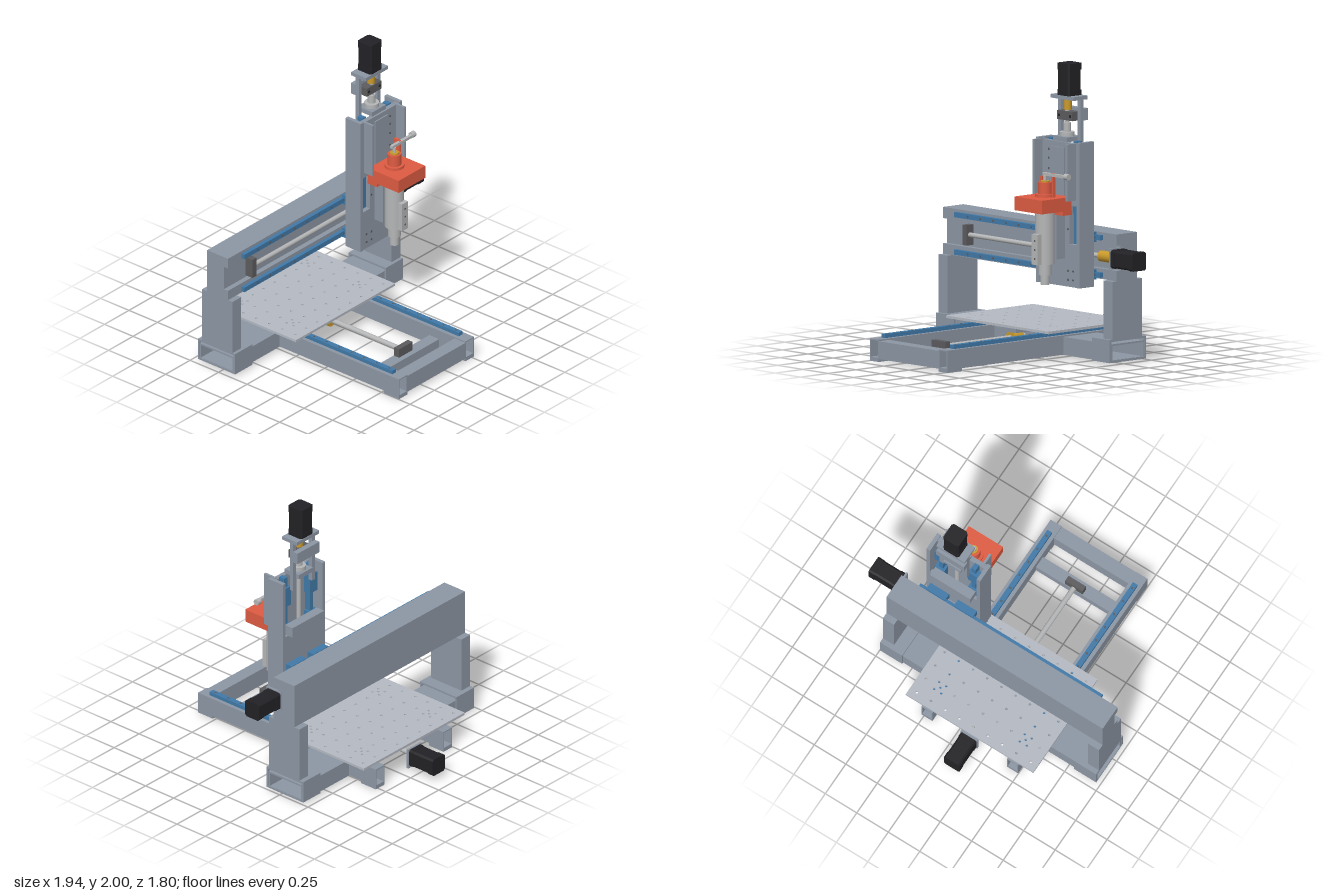
import * as THREE from 'three';

const mat = (color) => new THREE.MeshStandardMaterial({ color });
const GREY = mat(0x8c96a3), PLATE = mat(0xb4b9c2), BLUE = mat(0x4179a8), BLACK = mat(0x222226),
  GOLD = mat(0xc8992b), ORANGE = mat(0xde5b42), STEEL = mat(0xb4b5b6), DARK = mat(0x5c5c5e);

export function createModel() {
  const root = new THREE.Group();
  const add = (name, geo, m) => {
    const mesh = new THREE.Mesh(geo, m);
    mesh.name = name;
    root.add(mesh);
    return mesh;
  };
  // box given by its limits on each axis
  const box = (name, m, x0, x1, y0, y1, z0, z1) => add(name, new THREE.BoxGeometry(x1 - x0, y1 - y0, z1 - z0), m)
    .position.set((x0 + x1) / 2, (y0 + y1) / 2, (z0 + z1) / 2);
  // cylinder along an axis, centred at x, y, z
  const rod = (name, m, axis, r, len, x, y, z, sides = 28) => {
    const geo = new THREE.CylinderGeometry(r, r, len, sides);
    if (axis === 'x') geo.rotateZ(Math.PI / 2);
    if (axis === 'z') geo.rotateX(Math.PI / 2);
    add(name, geo, m).position.set(x, y, z);
  };
  const rectPath = (P, w, h) => {
    const p = new P();
    p.moveTo(-w / 2, -h / 2); p.lineTo(w / 2, -h / 2); p.lineTo(w / 2, h / 2); p.lineTo(-w / 2, h / 2); p.closePath();
    return p;
  };
  // hollow rectangular tube along z or x
  const tube = (name, axis, w, h, len, t, x, y, z) => {
    const s = rectPath(THREE.Shape, w, h);
    s.holes.push(rectPath(THREE.Path, w - 2 * t, h - 2 * t));
    const geo = new THREE.ExtrudeGeometry(s, { depth: len, bevelEnabled: false }).translate(0, 0, -len / 2);
    if (axis === 'x') geo.rotateY(Math.PI / 2);
    add(name, geo, GREY).position.set(x, y, z);
  };
  // stepper motor: chamfered square body with two end caps, along +z before turning
  const motor = (name, x, y, z, rx, ry) => {
    const g = new THREE.Group();
    g.name = name;
    [[0.124, 0, 0.035], [0.118, 0.035, 0.17], [0.124, 0.17, 0.215]].forEach(([w, a, b]) => {
      const h = w / 2, c = 0.012, s = new THREE.Shape();
      [[-h + c, -h], [h - c, -h], [h, -h + c], [h, h - c], [h - c, h], [-h + c, h], [-h, h - c], [-h, -h + c]]
        .forEach(([u, v], i) => (i ? s.lineTo(u, v) : s.moveTo(u, v)));
      s.closePath();
      const m = new THREE.Mesh(new THREE.ExtrudeGeometry(s, { depth: b - a, bevelEnabled: false }), BLACK);
      m.name = name + 'Body';
      m.position.z = a;
      g.add(m);
    });
    g.position.set(x, y, z);
    g.rotation.set(rx, ry, 0);
    root.add(g);
  };

  // base frame: hollow side rails, feet, linear guides with blocks
  const SX = [-0.453, 0.227];
  for (const x of SX) {
    tube('baseRail', 'z', 0.088, 0.13, 1.58, 0.008, x, 0.085, 0.11);
    box('foot', GREY, x - 0.044, x + 0.044, 0, 0.02, 0.77, 0.9);
    box('foot', GREY, x - 0.044, x + 0.044, 0, 0.02, -0.68, -0.55);
    box('tableGuide', BLUE, x - 0.018, x + 0.018, 0.15, 0.176, -0.6, 0.82);
    for (let i = 0; i < 13; i++) rod('guideBolt', DARK, 'y', 0.008, 0.004, x, 0.176, -0.54 + i * 0.11, 10);
    for (const z of [-0.52, -0.065]) box('tableBlock', BLUE, x - 0.036, x + 0.036, 0.162, 0.195, z - 0.075, z + 0.075);
  }
  box('frontCrossMember', GREY, -0.41, 0.183, 0.02, 0.14, 0.805, 0.9);
  box('innerCrossMember', GREY, -0.41, 0.183, 0.02, 0.085, 0.585, 0.67);
  box('middleCrossBeam', GREY, -0.41, 0.183, 0.02, 0.14, -0.445, -0.145);
  tube('crossBeamEnd', 'x', 0.3, 0.12, 0.47, 0.012, -0.733, 0.08, -0.295);
  tube('crossBeamEnd', 'x', 0.3, 0.12, 0.47, 0.012, 0.508, 0.08, -0.295);

  // gantry uprights with sleeves around the cross beam
  for (const s of [-1, 1]) {
    const cx = -0.113, e = 0.858;
    tube('uprightSleeve', 'x', 0.326, 0.155, 0.175, 0.014, cx + s * (e - 0.0875), 0.0925, -0.292);
    const a = cx + s * e, b = cx + s * (e - 0.088);
    box('upright', GREY, Math.min(a, b), Math.max(a, b), 0.165, 0.56, -0.42, -0.152);
  }

  // gantry beam: C-shaped section run along x
  const c = new THREE.Shape();
  [[0.375, 0.56], [0.375, 0.875], [0.192, 0.875], [0.192, 0.8], [0.228, 0.8], [0.228, 0.63], [0.192, 0.63], [0.192, 0.56]]
    .forEach(([u, v], i) => (i ? c.lineTo(u, v) : c.moveTo(u, v)));
  c.closePath();
  const beam = new THREE.ExtrudeGeometry(c, { depth: 1.716, bevelEnabled: false }).rotateY(Math.PI / 2);
  add('gantryBeam', beam, GREY).position.set(-0.971, 0, 0);
  for (const y of [0.84, 0.588]) {
    box('gantryGuide', BLUE, -0.835, 0.61, y - 0.017, y + 0.017, -0.192, -0.165);
    for (let i = 0; i < 11; i++) rod('guideBolt', DARK, 'z', 0.008, 0.004, -0.7 + i * 0.126, y, -0.165, 10);
    for (const x of [0.26, 0.48]) box('gantryBlock', BLUE, x - 0.075, x + 0.075, y - 0.034, y + 0.034, -0.185, -0.13);
  }
  rod('gantryScrew', STEEL, 'x', 0.016, 1.34, -0.06, 0.715, -0.195);
  box('gantryBearing', DARK, -0.752, -0.71, 0.645, 0.782, -0.228, -0.165);
  box('gantryNutMount', GREY, 0.3, 0.45, 0.66, 0.77, -0.225, -0.13);
  rod('gantryCoupling', GOLD, 'x', 0.037, 0.13, 0.655, 0.715, -0.195);
  box('gantryMotorPlate', GREY, 0.735, 0.75, 0.645, 0.785, -0.26, -0.13);
  motor('gantryMotor', 0.75, 0.715, -0.195, 0, Math.PI / 2);

  // moving table: plate pierced by a grid of holes and four bolt clusters
  const table = rectPath(THREE.Shape, 1.014, 0.785);
  const hole = (x, z, r) => {
    const p = new THREE.Path();
    p.absarc(x + 0.113, -(z + 0.29), r, 0, Math.PI * 2, true);
    table.holes.push(p);
  };
  for (let i = 0; i < 9; i++) for (let j = 0; j < 7; j++) hole(-0.565 + i * 0.113, -0.63 + j * 0.113, 0.009);
  for (const x of SX) for (const z of [-0.517, -0.067]) for (const dx of [-0.028, 0.028]) for (const dz of [-0.03, 0.03])
    hole(x + dx, z + dz, 0.009);
  add('table', new THREE.ExtrudeGeometry(table, { depth: 0.017, bevelEnabled: false, curveSegments: 6 })
    .rotateX(-Math.PI / 2), PLATE).position.set(-0.113, 0.195, -0.29);
  box('tableNutMount', GREY, -0.19, -0.04, 0.145, 0.195, -0.12, 0.0);
  rod('tableNut', GOLD, 'z', 0.045, 0.09, -0.113, 0.105, -0.06);
  rod('tableScrew', STEEL, 'z', 0.018, 1.3, -0.113, 0.105, -0.03);
  box('tableBearing', DARK, -0.183, -0.045, 0.06, 0.148, 0.59, 0.632);
  box('tableMotorPlate', GREY, -0.18, -0.045, 0.03, 0.17, -0.69, -0.675);
  motor('tableMotor', -0.113, 0.105, -0.685, 0, Math.PI);

  // vertical carriage: side walls, front panel with rail windows, rear plates
  const CX = 0.373;
  for (const s of [-1, 1]) {
    const side = (name, m, a, b, ...r) => box(name, m, CX + Math.min(s * a, s * b), CX + Math.max(s * a, s * b), ...r);
    side('carriageWall', GREY, 0.185, 0.213, 0.513, 1.49, -0.132, 0);
    side('carriageFin', GREY, 0.155, 0.172, 1.1, 1.485, -0.03, 0.07);
    side('verticalGuide', BLUE, 0.112, 0.146, 0.8, 1.49, -0.085, -0.04);
    for (const y of [1.07, 1.35]) side('verticalBlock', BLUE, 0.095, 0.17, y - 0.07, y + 0.07, -0.1, -0.05);
    side('motorPost', GREY, 0.08, 0.11, 1.4, 1.765, -0.132, -0.103);
    for (const y of [0.56, 0.62, 0.9, 1.2, 1.29, 1.36, 1.42])
      rod('panelBolt', DARK, 'z', 0.008, 0.004, CX + s * 0.095, y, -0.006, 10);
    for (const y of [0.56, 0.62]) rod('panelBolt', DARK, 'z', 0.008, 0.004, CX + s * 0.145, y, -0.006, 10);
  }
  box('frontPanelLower', GREY, CX - 0.187, CX + 0.187, 0.513, 0.8, -0.04, -0.006);
  box('frontPanelMiddle', GREY, CX - 0.108, CX + 0.108, 0.8, 1.06, -0.04, -0.006);
  box('frontPanelUpper', GREY, CX - 0.187, CX + 0.187, 1.06, 1.48, -0.04, -0.006);
  box('frontPad', GREY, CX - 0.065, CX + 0.065, 1.1, 1.445, -0.006, 0.003);
  box('rearPlate', GREY, CX - 0.185, CX + 0.185, 0.55, 1.08, -0.132, -0.108);
  box('rearBrace', GREY, CX - 0.16, CX + 0.16, 1.08, 1.152, -0.172, -0.105);

  // vertical drive
  rod('verticalScrew', STEEL, 'y', 0.016, 0.78, CX, 1.37, -0.085);
  rod('verticalNut', STEEL, 'y', 0.026, 0.07, CX, 1.565, -0.085);
  rod('nutFlange', STEEL, 'y', 0.05, 0.03, CX, 1.525, -0.085);
  box('nutBracket', GREY, CX - 0.07, CX + 0.07, 1.48, 1.512, -0.15, -0.02);
  box('bearingBrace', GREY, CX - 0.11, CX + 0.11, 1.62, 1.7, -0.172, -0.132);
  box('verticalBearing', DARK, CX - 0.075, CX + 0.075, 1.618, 1.678, -0.132, -0.062);
  for (const s of [-1, 1]) rod('bearingBolt', BLACK, 'z', 0.01, 0.004, CX + s * 0.055, 1.648, -0.062, 10);
  rod('verticalCoupling', GOLD, 'y', 0.027, 0.075, CX, 1.725, -0.09);
  box('motorTopPlate', GREY, CX - 0.112, CX + 0.112, 1.76, 1.785, -0.168, -0.038);
  motor('verticalMotor', CX + 0.002, 1.785, -0.103, -Math.PI / 2, 0);

  // spindle body, stepped towards the collet
  const SZ = 0.115;
  rod('spindleBody', STEEL, 'y', 0.065, 0.37, CX, 0.855, SZ, 40);
  rod('spindleNeck', STEEL, 'y', 0.043, 0.08, CX, 0.635, SZ);
  rod('collet', STEEL, 'y', 0.031, 0.08, CX, 0.57, SZ);
  box('spindleCover', STEEL, CX - 0.03, CX + 0.03, 0.67, 0.875, 0.165, 0.208);
  for (const y of [0.71, 0.77, 0.83]) rod('coverBolt', DARK, 'z', 0.007, 0.004, CX, y, 0.208, 10);
  box('spindleBack', GREY, CX - 0.065, CX + 0.065, 0.7, 1.0, -0.006, 0.07);

  // spindle clamp, with its collar, posts and lever
  box('clamp', ORANGE, CX - 0.135, CX + 0.137, 1.03, 1.122, 0, 0.268);
  box('clampFoot', ORANGE, CX - 0.13, CX + 0.13, 1.0, 1.03, -0.01, 0.072);
  for (const x of [0.228, 0.505]) box('clampPost', ORANGE, x, x + 0.02, 1.1, 1.235, -0.005, 0.03);
  rod('clampRing', ORANGE, 'y', 0.066, 0.02, CX, 1.13, SZ);
  rod('clampCollar', ORANGE, 'y', 0.046, 0.1, CX, 1.17, SZ);
  rod('spindleCap', GOLD, 'y', 0.03, 0.012, CX, 1.223, SZ);
  rod('spindleShaft', STEEL, 'y', 0.012, 0.04, CX, 1.245, SZ);
  box('leverPost', ORANGE, 0.432, 0.448, 1.12, 1.285, 0.09, 0.11);
  box('lever', STEEL, 0.35, 0.56, 1.262, 1.282, 0.095, 0.117);
  rod('leverGrip', STEEL, 'x', 0.021, 0.035, 0.575, 1.272, 0.1);

  return root;
}
